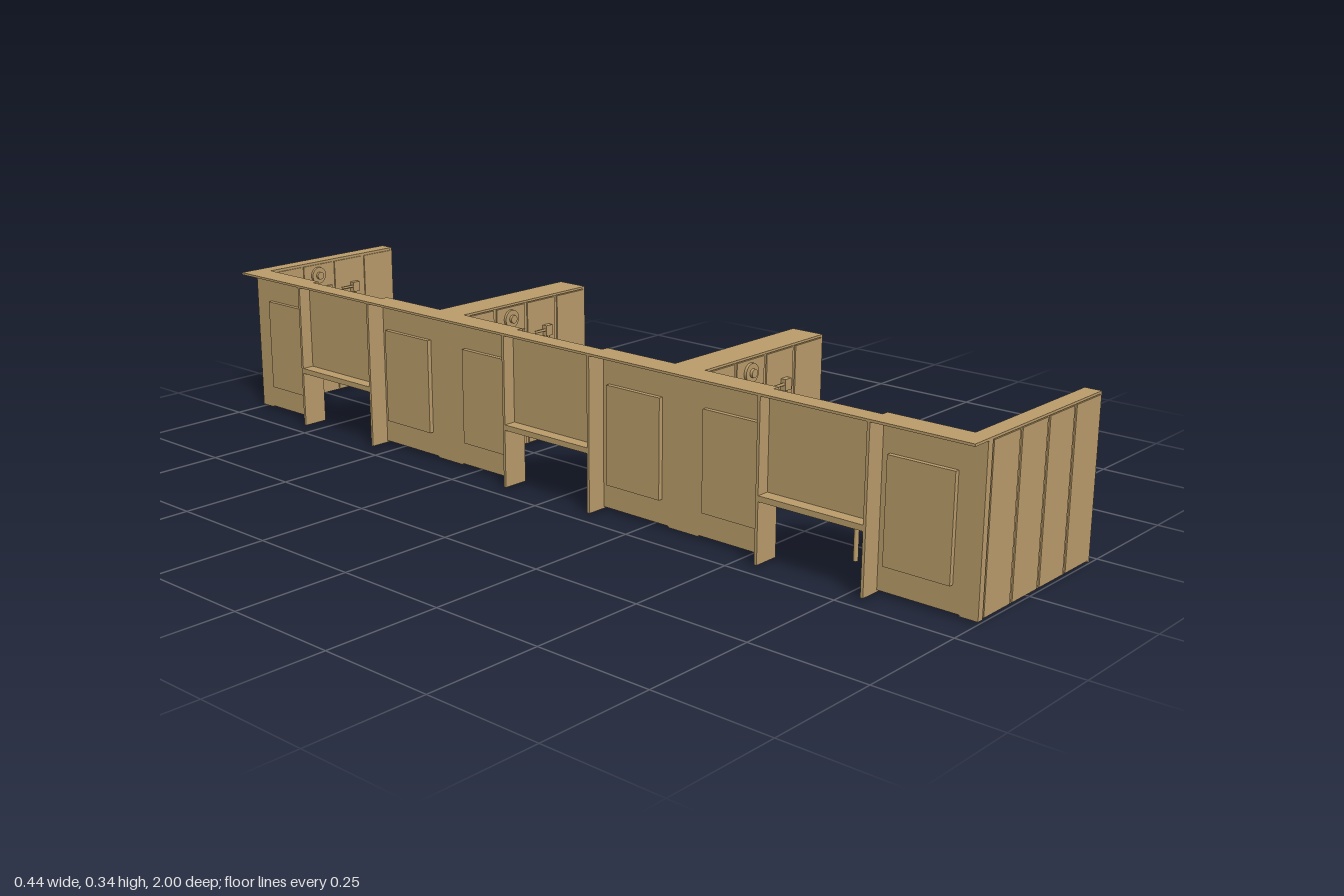
import * as THREE from 'three';

const tan = new THREE.MeshStandardMaterial({ color: 0xbc9e6c });
tan.name = 'tan';

function add(parent, name, geometry) {
  const mesh = new THREE.Mesh(geometry, tan);
  mesh.name = name;
  parent.add(mesh);
  return mesh;
}

// box given by its extents on each axis
function block(parent, name, x0, x1, y0, y1, z0, z1) {
  const mesh = add(parent, name, new THREE.BoxGeometry(x1 - x0, y1 - y0, z1 - z0));
  mesh.position.set((x0 + x1) / 2, (y0 + y1) / 2, (z0 + z1) / 2);
  return mesh;
}

// round part lying along z or x
function disc(parent, name, r, depth, x, y, z, axis) {
  const g = new THREE.CylinderGeometry(r, r, depth, 20);
  if (axis === 'x') g.rotateZ(-Math.PI / 2);
  else g.rotateX(Math.PI / 2);
  add(parent, name, g).position.set(x, y, z);
}

// fittings on one face of a partition; z is the face, s its outward direction
function fittings(parent, z, s) {
  const fit = (name, x0, x1, y0, y1, d) =>
    block(parent, name, x0, x1, y0, y1, Math.min(z, z + s * d), Math.max(z, z + s * d));
  fit('wallBox', -0.148, -0.1, 0.255, 0.31, 0.014);
  fit('mountPlate', -0.058, 0.02, 0.14, 0.275, 0.004);
  disc(parent, 'gaugeRim', 0.02, 0.006, -0.02, 0.305, z + s * 0.003, 'z');
  disc(parent, 'gaugeKnob', 0.009, 0.012, -0.02, 0.305, z + s * 0.006, 'z');
  fit('hookRail', -0.055, 0.02, 0.176, 0.182, 0.008);
  for (let i = 0; i < 8; i++) {
    const x = -0.052 + i * 0.0095;
    fit('hook', x, x + 0.004, 0.168, 0.19, 0.011);
  }
  // bent pipe with bracket
  const path = new THREE.CurvePath();
  const pts = [[0.045, 0.262], [0.09, 0.262], [0.09, 0.18]].map(([x, y]) => new THREE.Vector3(x, y, z + s * 0.008));
  path.add(new THREE.LineCurve3(pts[0], pts[1]));
  path.add(new THREE.LineCurve3(pts[1], pts[2]));
  add(parent, 'pipe', new THREE.TubeGeometry(path, 16, 0.003, 6));
  fit('pipeBracket', 0.08, 0.1, 0.248, 0.272, 0.012);
  fit('pipeEnd', 0.082, 0.098, 0.172, 0.192, 0.012);
  fit('outletBox', 0.042, 0.072, 0.055, 0.09, 0.012);
  fit('latch', 0.166, 0.186, 0.1, 0.135, 0.01);
}

// partition: core with four raised panels per face
function partition(root, z0, z1, sides) {
  const g = new THREE.Group();
  g.name = 'partition';
  root.add(g);
  const lip = 0.003;
  block(g, 'partitionCore', -0.16, 0.215, 0.005, 0.333, z0 + lip, z1 - lip);
  block(g, 'partitionCap', -0.16, 0.218, 0.333, 0.338, z0, z1);
  block(g, 'partitionEdge', 0.213, 0.218, 0.003, 0.333, z0, z1);
  for (let i = 0; i < 4; i++) {
    const x = -0.156 + i * 0.0945;
    block(g, 'partitionPanel', x, x + 0.086, 0.007, 0.331, z0, z0 + lip);
    block(g, 'partitionPanel', x, x + 0.086, 0.007, 0.331, z1 - lip, z1);
  }
  if (sides.includes(1)) fittings(g, z1, 1);
  if (sides.includes(-1)) fittings(g, z0, -1);
}

// cabinet panel between a partition and a booth opening
function cabinet(root, z0, z1) {
  const g = new THREE.Group();
  g.name = 'cabinetPanel';
  root.add(g);
  block(g, 'panelBody', -0.175, -0.163, 0.008, 0.333, z0, z1);
  block(g, 'backInset', -0.185, -0.175, 0.06, 0.27, z0 + 0.016, z1 - 0.016);
  block(g, 'frontInset', -0.163, -0.159, 0.062, 0.266, z0 + 0.012, z1 - 0.012);
  // front frame
  block(g, 'frameSide', -0.163, -0.157, 0.008, 0.333, z0, z0 + 0.006);
  block(g, 'frameSide', -0.163, -0.157, 0.008, 0.333, z1 - 0.006, z1);
  block(g, 'kickRail', -0.163, -0.157, 0.005, 0.014, z0, z1);
  const mid = (z0 + z1) / 2;
  block(g, 'controlBox', -0.159, -0.145, 0.22, 0.258, mid - 0.036, mid + 0.036);
  for (const dz of [-0.055, 0, 0.055]) {
    disc(g, 'dialRim', 0.019, 0.008, -0.159, 0.3, mid + dz, 'x');
    disc(g, 'dialKnob', 0.01, 0.014, -0.156, 0.3, mid + dz, 'x');
  }
}

// booth opening with wall, table, rear shelf and leg
function booth(root, zc) {
  const g = new THREE.Group();
  g.name = 'booth';
  g.position.z = zc;
  root.add(g);
  const w = 0.118;
  block(g, 'boothWall', -0.19, -0.175, 0.13, 0.338, -w, w);
  const s = new THREE.Shape();
  [[-0.175, -w], [-0.06, -w], [0.005, -0.045], [0.005, 0.045], [-0.06, w], [-0.175, w]]
    .forEach(([x, z], i) => (i ? s.lineTo(x, -z) : s.moveTo(x, -z)));
  const top = new THREE.ExtrudeGeometry(s, { depth: 0.014, bevelEnabled: false });
  top.rotateX(-Math.PI / 2);
  add(g, 'tableTop', top).position.y = 0.129;
  block(g, 'rearShelf', -0.218, -0.175, 0.13, 0.142, -w, w);
  const leg = add(g, 'tableLeg', new THREE.CylinderGeometry(0.005, 0.005, 0.13, 12));
  leg.position.set(-0.065, 0.065, 0);
  for (const side of [-1, 1]) {
    const z = side * (w + 0.002);
    block(g, 'sidePlate', -0.218, -0.16, 0.004, 0.334, z - 0.003, z + 0.003);
  }
}

export function createModel() {
  const root = new THREE.Group();
  root.name = 'boothRow';
  const booths = [-0.667, 0, 0.667];

  // header board, narrower over each booth
  block(root, 'headerBoard', -0.218, -0.175, 0.333, 0.338, -1, 1);
  const spans = [[-1, -0.787], [-0.547, -0.12], [0.12, 0.547], [0.787, 1]];
  for (const [a, b] of spans) block(root, 'headerLedge', -0.175, -0.16, 0.333, 0.338, a, b);

  for (const z of booths) {
    booth(root, z);
    cabinet(root, z - 0.295, z - 0.123);
    cabinet(root, z + 0.123, z + 0.295);
  }

  partition(root, -1, -0.965, [1]);
  partition(root, -0.372, -0.297, [-1, 1]);
  partition(root, 0.297, 0.372, [-1, 1]);
  partition(root, 0.965, 1, [-1]);
  // posts closing the back of each partition
  for (const [a, b] of [[-1, -0.962], [-0.372, -0.295], [0.295, 0.372], [0.962, 1]])
    block(root, 'backPost', -0.175, -0.16, 0.005, 0.333, a, b);
  return root;
}
